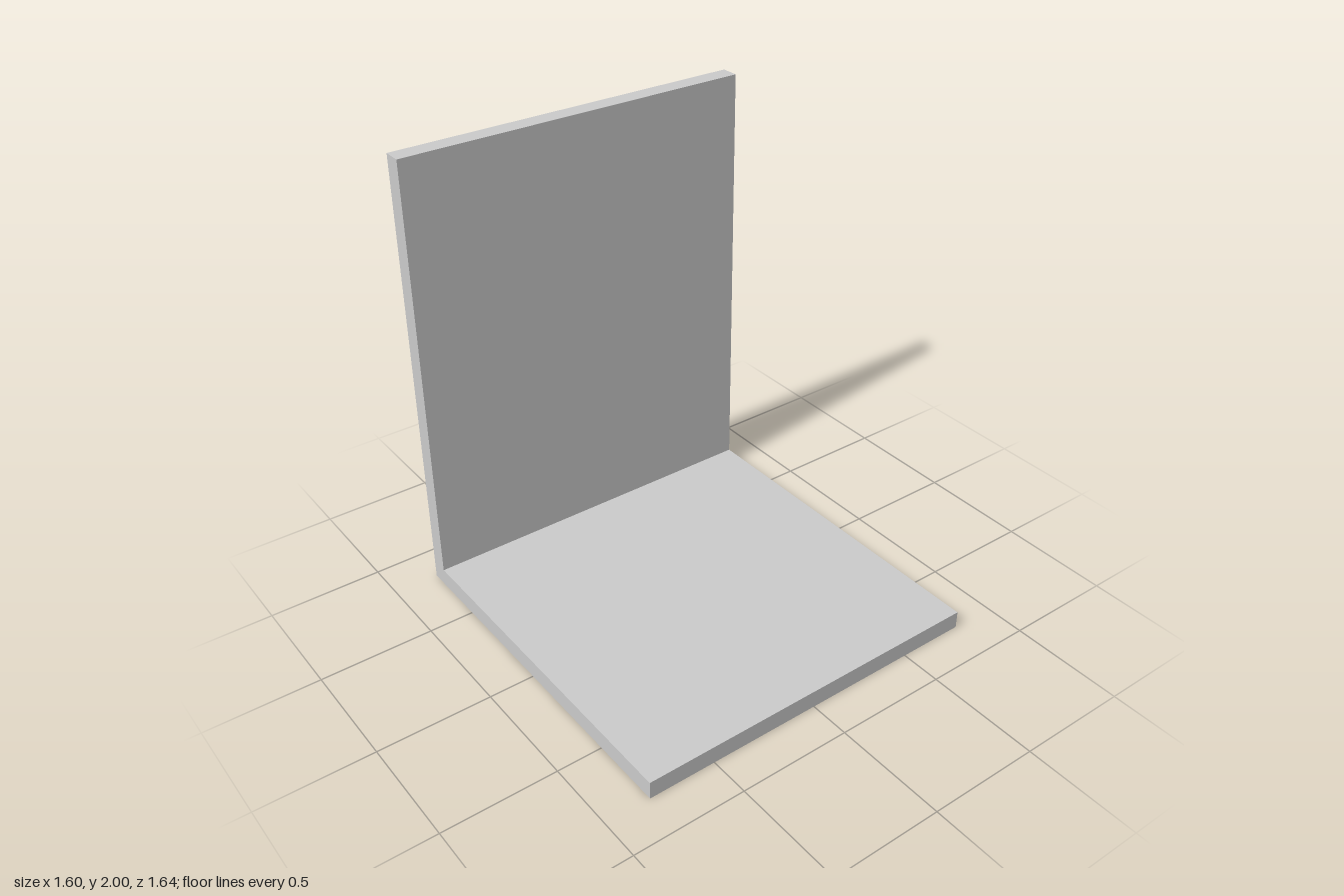
import * as THREE from 'three';

const WIDTH = 1.6, HEIGHT = 2, HALF_DEPTH = 0.82, THICKNESS = 0.08;

export function createModel() {
  const group = new THREE.Group();
  group.name = 'lBracket';

  // L-shaped side profile, drawn as (z, y)
  const inner = -HALF_DEPTH + THICKNESS;
  const profile = new THREE.Shape([
    [-HALF_DEPTH, 0],
    [HALF_DEPTH, 0],
    [HALF_DEPTH, THICKNESS],
    [inner, THICKNESS],
    [inner, HEIGHT],
    [-HALF_DEPTH, HEIGHT],
  ].map(([z, y]) => new THREE.Vector2(z, y)));

  // Base plate and upright back plate in one piece, extruded across the width
  const geometry = new THREE.ExtrudeGeometry(profile, { depth: WIDTH, bevelEnabled: false });
  geometry.translate(0, 0, -WIDTH / 2);
  geometry.rotateY(-Math.PI / 2);

  const plates = new THREE.Mesh(geometry, new THREE.MeshStandardMaterial({ color: 0xcccccc }));
  plates.name = 'baseAndBackPlate';
  group.add(plates);
  return group;
}
